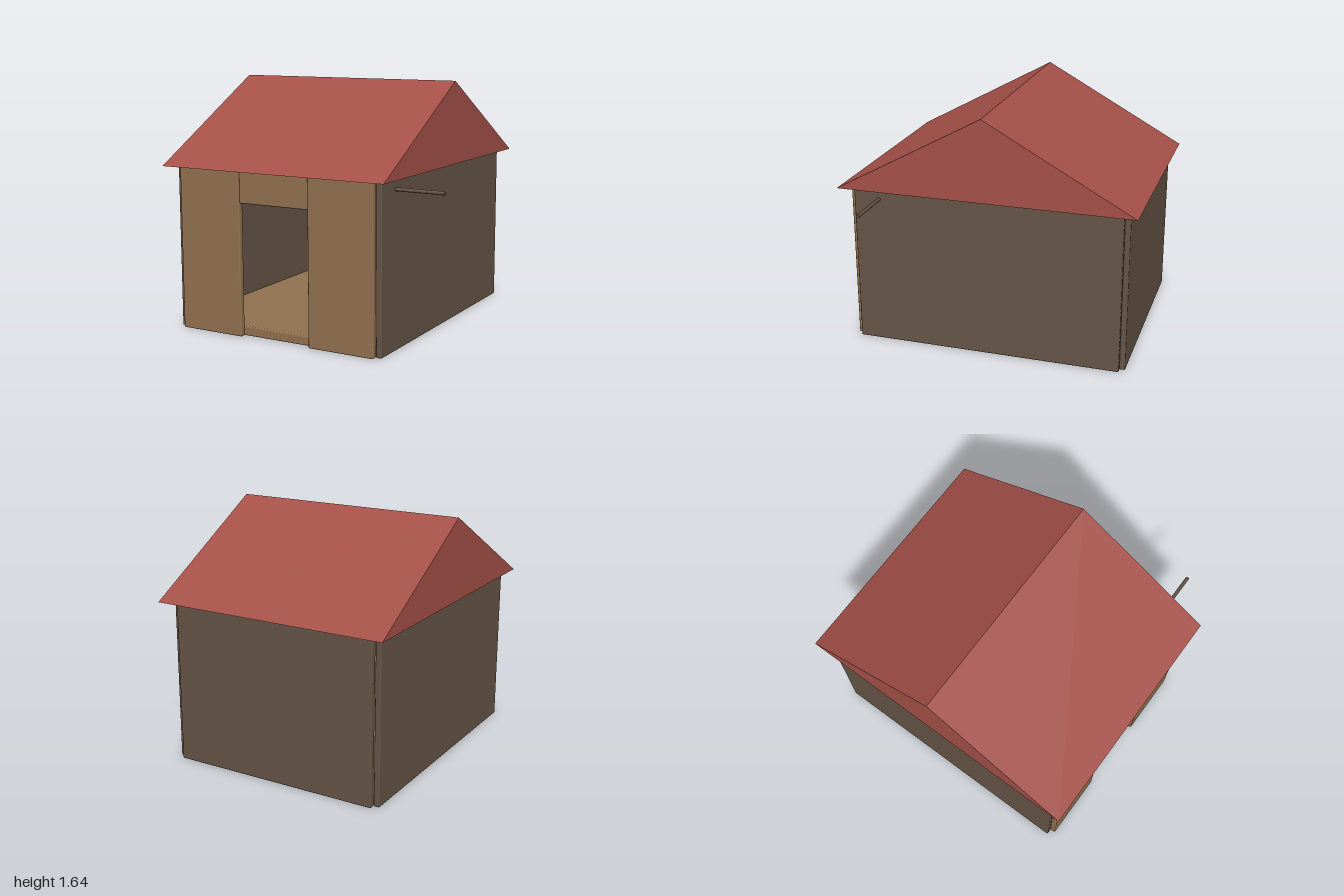
import * as THREE from 'three';
import { RoundedBoxGeometry } from 'three/addons/geometries/RoundedBoxGeometry.js';

export function createModel() {
  const group = new THREE.Group();
  const material = (name, color) => {
    const m = new THREE.MeshStandardMaterial({ color });
    m.name = name;
    return m;
  };
  const wood = material('light wood', 0x917150);
  const wall = material('dark wood', 0x655446);
  const red = material('roof red', 0xa45048);

  const add = (name, geometry, mat) => {
    const mesh = new THREE.Mesh(geometry, mat);
    mesh.name = name;
    group.add(mesh);
    return mesh;
  };
  // Board with softened edges, given by its limits on each axis
  const board = (name, mat, [x0, x1], [y0, y1], [z0, z1]) => {
    const mesh = add(name, new RoundedBoxGeometry(x1 - x0, y1 - y0, z1 - z0, 2, 0.008), mat);
    mesh.position.set((x0 + x1) / 2, (y0 + y1) / 2, (z0 + z1) / 2);
  };

  const top = 1.09;
  const left = 0.62, right = -0.9, thick = 0.04;

  // Floor slab
  board('floor', wood, [right + thick, left - thick], [0.002, 0.065], [-0.9, 0.905]);

  // Side and back walls, with notched corners
  board('leftWall', wall, [left - thick, left], [0, top], [-0.905, 0.905]);
  board('rightWall', wall, [right, right + thick], [0, top], [-0.905, 0.905]);
  board('backWall', wall, [right + thick, left - thick], [0, top], [-0.94, -0.9]);

  // Front panels on both sides of the doorway, and the lintel above it
  board('frontPanelRight', wood, [right + thick, -0.392], [0, top], [0.9, 0.94]);
  board('frontPanelLeft', wood, [0.118, left - thick], [0, top], [0.9, 0.94]);
  board('lintel', wood, [-0.392, 0.118], [0.88, top], [0.9, 0.938]);

  // Gabled roof: triangle extruded along x
  const gable = new THREE.Shape([
    new THREE.Vector2(-1, top),
    new THREE.Vector2(1, top),
    new THREE.Vector2(0, 1.64),
  ]);
  const roof = new THREE.ExtrudeGeometry(gable, { depth: 1.635, bevelEnabled: false });
  roof.rotateY(Math.PI / 2).translate(-0.955, 0, 0);
  add('roof', roof, red);

  // Pole sticking out of the left wall
  const pole = add('pole', new THREE.CylinderGeometry(0.012, 0.012, 0.345, 8), wall);
  pole.rotation.z = Math.PI / 2;
  pole.position.set(0.775, 1.02, 0.73);

  return group;
}
